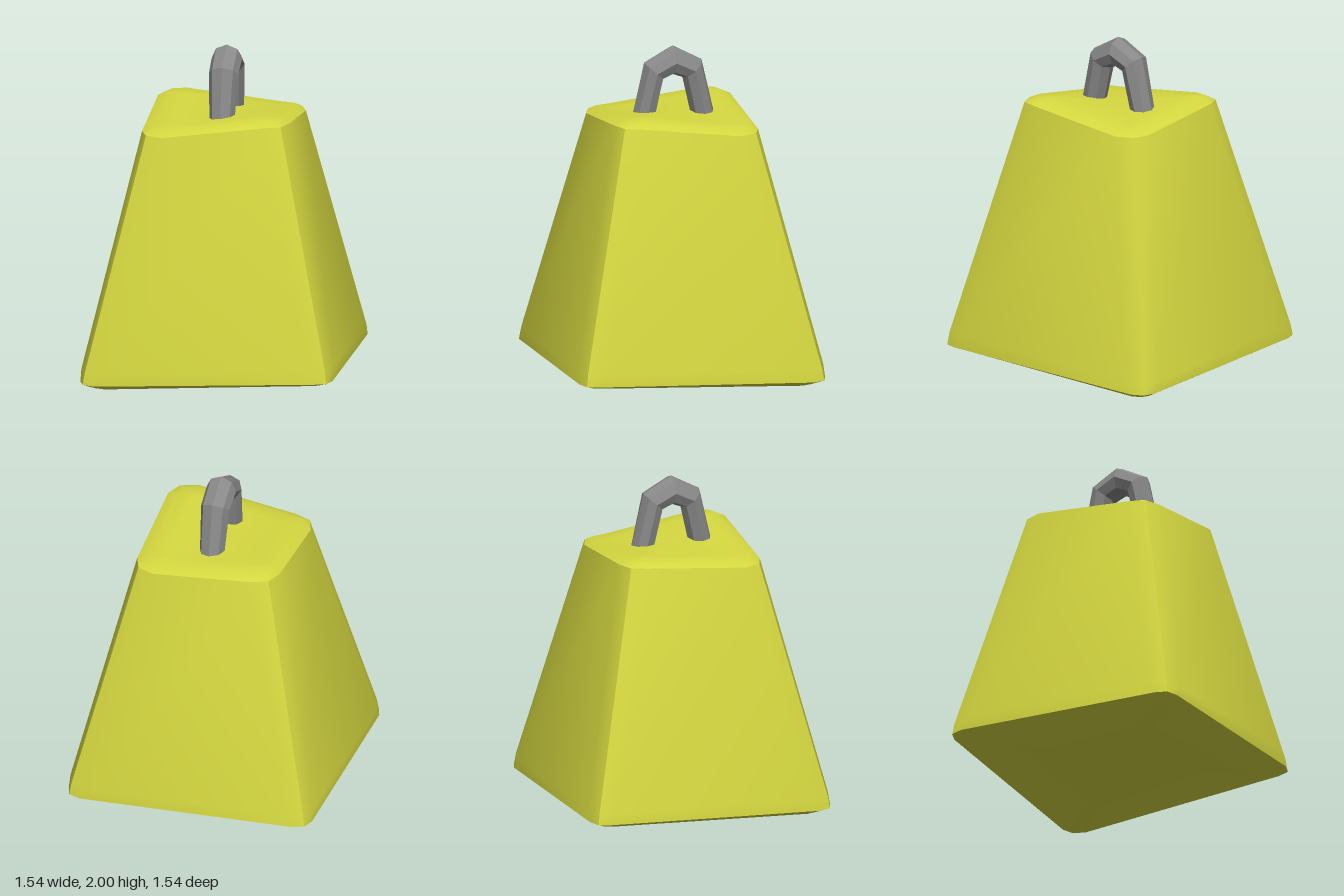
import * as THREE from 'three';
import { toCreasedNormals } from 'three/addons/utils/BufferGeometryUtils.js';

// Skin a list of equal-length point rings and close both ends with a fan.
function loft(rings, crease) {
  const n = rings[0].length;
  const points = rings.flat();
  const index = [];
  for (let r = 0; r < rings.length - 1; r++) {
    for (let i = 0; i < n; i++) {
      const j = (i + 1) % n;
      const a = r * n + i, b = r * n + j, c = a + n, d = b + n;
      index.push(a, c, b, b, c, d);
    }
  }
  [0, rings.length - 1].forEach((r, end) => {
    const centre = new THREE.Vector3();
    rings[r].forEach((p) => centre.addScaledVector(p, 1 / n));
    const k = points.push(centre) - 1;
    for (let i = 0; i < n; i++) {
      const a = r * n + i, b = r * n + (i + 1) % n;
      if (end) index.push(k, b, a);
      else index.push(k, a, b);
    }
  });
  const geometry = new THREE.BufferGeometry().setFromPoints(points);
  geometry.setIndex(index);
  return toCreasedNormals(geometry, crease);
}

// Square ring with three points per corner; two opposite corners are lifted.
function squareRing(half, flat, mid, y, liftFront, liftBack) {
  const corners = [
    [1, 1, liftFront], [-1, 1, 0], [-1, -1, liftBack], [1, -1, 0],
  ];
  return corners.flatMap(([sx, sz, lift]) => {
    const pts = [[half, flat], [mid, mid], [flat, half]];
    if (sx * sz < 0) pts.reverse();
    return pts.map(([x, z]) => new THREE.Vector3(sx * x, y + lift, sz * z));
  });
}

export function createModel() {
  const model = new THREE.Group();

  // Tapered, slightly twisted block with bevelled edges
  const body = new THREE.Mesh(
    loft([
      squareRing(0.70, 0.62, 0.68, 0.0, 0.075, 0.055),
      squareRing(0.772, 0.67, 0.745, 0.035, 0.07, 0.055),
      squareRing(0.772, 0.63, 0.735, 0.105, 0.08, 0.055),
      squareRing(0.452, 0.31, 0.412, 1.522, 0.088, 0.06),
      squareRing(0.39, 0.285, 0.37, 1.55, 0.087, 0.06),
      squareRing(0.28, 0.27, 0.28, 1.556, 0.085, 0.055),
    ], 0.5),
    new THREE.MeshStandardMaterial({ color: 0xd6d940 }),
  );
  body.name = 'body';
  model.add(body);

  // Handle stations: z, y, half width in x, then the outward half thickness (z, y)
  const stations = [
    [0.193, 1.53, 0.075, 0.07, 0.012],
    [0.12, 1.85, 0.09, 0.06, 0.052],
    [0, 1.91, 0.093, 0, 0.09],
    [-0.12, 1.85, 0.09, -0.06, 0.052],
    [-0.193, 1.53, 0.075, -0.07, 0.012],
  ];
  const sides = 8;
  const handleRings = stations.map(([z, y, rx, nz, ny]) =>
    Array.from({ length: sides }, (_, i) => {
      const a = (i / sides) * Math.PI * 2;
      const c = Math.cos(a), s = Math.sin(a);
      return new THREE.Vector3(0.017 + rx * c, y + ny * s, z + nz * s);
    }));
  const handle = new THREE.Mesh(
    loft(handleRings, 0.3),
    new THREE.MeshStandardMaterial({ color: 0x888888 }),
  );
  handle.name = 'handle';
  model.add(handle);

  return model;
}
